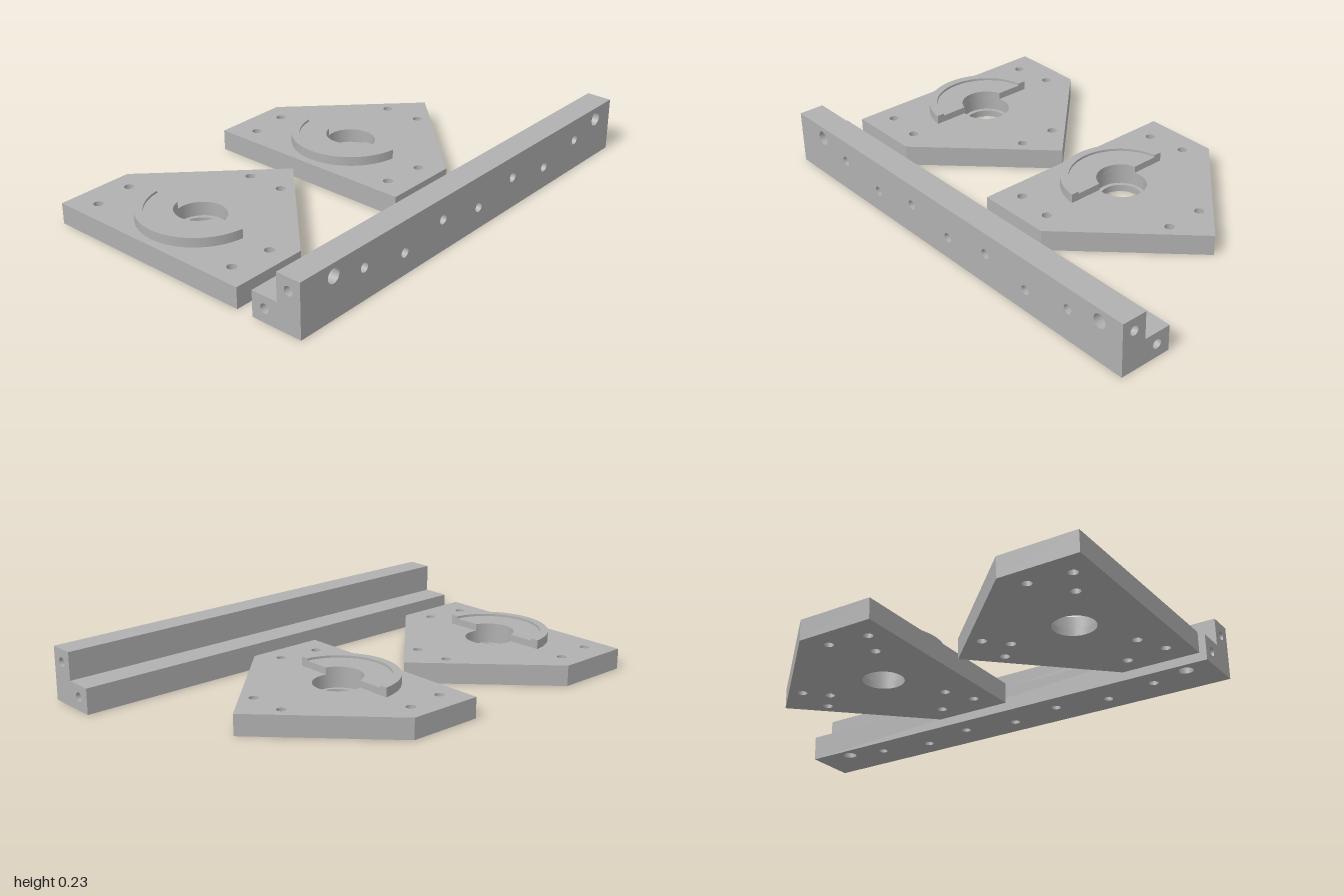
import * as THREE from 'three';

const grey = new THREE.MeshStandardMaterial({ color: 0xb0b0b0, side: THREE.DoubleSide });
grey.name = 'machined grey';

function add(parent, name, geometry) {
  const mesh = new THREE.Mesh(geometry, grey);
  mesh.name = name;
  parent.add(mesh);
  return mesh;
}

// Flat face in XY looking along +z, with bored holes { x, y, r, depth, open }.
// depth 0 leaves a plain opening; open leaves out the floor of the bore.
function boredFace(name, points, holes = []) {
  const group = new THREE.Group();
  group.name = name;
  const shape = new THREE.Shape(points.map(([x, y]) => new THREE.Vector2(x, y)));
  for (const { x, y, r, depth, open } of holes) {
    shape.holes.push(new THREE.Path().absarc(x, y, r, 0, Math.PI * 2, true));
    if (!depth) continue;
    const bore = new THREE.CylinderGeometry(r, r, depth, 32, 1, true);
    bore.rotateX(Math.PI / 2).translate(x, y, -depth / 2);
    add(group, 'boreWall', bore);
    if (!open) add(group, 'boreFloor', new THREE.CircleGeometry(r, 32).translate(x, y, -depth));
  }
  add(group, name + 'Surface', new THREE.ShapeGeometry(shape, 32));
  return group;
}

const rect = (x0, x1, y0, y1) => [[x0, y0], [x1, y0], [x1, y1], [x0, y1]];

function place(parent, face, position, rx = 0, ry = 0) {
  face.position.set(...position);
  face.rotation.set(rx, ry, 0);
  parent.add(face);
}

// Stepped rail with blind holes in the front, underside and both ends
function makeRail() {
  const rail = new THREE.Group();
  rail.name = 'steppedRail';
  const zFront = 0.635, zStep = 0.525, zBack = 0.405, top = 0.23, ledge = 0.11;
  const Q = Math.PI / 2;

  // hole row: x and distance from the outer corner
  const row = [{ x: -0.83, y: 0.178, r: 0.03, depth: 0.08 }, { x: 0.885, y: 0.178, r: 0.03, depth: 0.08 }];
  for (let i = 0; i < 7; i++) {
    row.push({ x: -0.665 + i * 0.231, y: i % 2 ? 0.095 : 0.137, r: 0.02, depth: 0.08 });
  }
  const under = row.map((h) => ({ ...h, x: -h.x, y: zFront - h.y }));

  place(rail, boredFace('railFront', rect(-1, 1, 0, top), row), [0, 0, zFront]);
  place(rail, boredFace('railUnderside', rect(-1, 1, zBack, zFront), under), [0, 0, 0], Q);
  place(rail, boredFace('railTop', rect(-1, 1, -zFront, -zStep)), [0, top, 0], -Q);
  place(rail, boredFace('railLedge', rect(-1, 1, -zStep, -zBack)), [0, ledge, 0], -Q);
  place(rail, boredFace('railStep', rect(-1, 1, ledge, top)), [0, 0, zStep], 0, Math.PI);
  place(rail, boredFace('railBack', rect(-1, 1, 0, ledge)), [0, 0, zBack], 0, Math.PI);

  // L-shaped ends
  for (const s of [1, -1]) {
    const outline = [[zFront, 0], [zFront, top], [zStep, top], [zStep, ledge], [zBack, ledge], [zBack, 0]];
    const holes = [[0.58, 0.175], [0.465, 0.058]]
      .map(([z, y]) => ({ x: -s * z, y, r: 0.02, depth: 0.12 }));
    place(rail, boredFace('railEnd', outline.map(([z, y]) => [-s * z, y]), holes), [s, 0, 0], 0, s * Q);
  }
  return rail;
}

// Part ring on the -x side of the bore, cut straight at x = -0.025
function cutRing(outer, inner, height) {
  const cut = -0.025, a = Math.acos(cut / outer), b = Math.acos(cut / inner);
  const shape = new THREE.Shape();
  shape.absarc(0, 0, outer, a, Math.PI * 2 - a, false);
  shape.absarc(0, 0, inner, Math.PI * 2 - b, b, true);
  const geometry = new THREE.ExtrudeGeometry(shape, { depth: height, bevelEnabled: false, curveSegments: 40 });
  return geometry.rotateX(-Math.PI / 2);
}

// Pointed plate with a stepped centre bore and a raised half ring
function makePlate(x) {
  const plate = new THREE.Group();
  plate.name = 'pointedPlate';
  plate.position.set(x, 0, -0.1525);
  const thick = 0.09, lip = 0.03, wide = 0.105, narrow = 0.087;
  const outline = [[-0.29, -0.4825], [0.045, -0.4825], [0.525, 0], [0.045, 0.4825], [-0.29, 0.4825]];

  const through = [];
  for (const s of [1, -1]) {
    for (const [hx, hz] of [[-0.2, 0.37], [-0.025, 0.39], [0.36, 0.085]]) {
      through.push({ x: hx, y: s * hz, r: 0.02 });
    }
  }
  // blind holes on a circle around the bore, underside only
  const blind = [0, 1, 2].map((i) => ({
    x: 0.28 * Math.cos(i * Math.PI * 2 / 3), y: 0.28 * Math.sin(i * Math.PI * 2 / 3), r: 0.02, depth: 0.05,
  }));

  const drilled = through.map((h) => ({ ...h, depth: thick, open: true }));
  const topHoles = [...drilled, { x: 0, y: 0, r: wide, depth: thick - lip, open: true }];
  const bottomHoles = [...through, ...blind, { x: 0, y: 0, r: narrow, depth: lip, open: true }];
  place(plate, boredFace('plateTop', outline, topHoles), [0, thick, 0], -Math.PI / 2);
  place(plate, boredFace('plateUnderside', outline, bottomHoles), [0, 0, 0], Math.PI / 2);
  add(plate, 'boreLip', new THREE.RingGeometry(narrow, wide, 32).rotateX(-Math.PI / 2).translate(0, lip, 0));

  // edge walls
  outline.forEach(([x0, z0], i) => {
    const [x1, z1] = outline[(i + 1) % outline.length];
    const wall = new THREE.PlaneGeometry(Math.hypot(x1 - x0, z1 - z0), thick);
    wall.rotateY(Math.PI - Math.atan2(z1 - z0, x1 - x0));
    wall.translate((x0 + x1) / 2, thick / 2, (z0 + z1) / 2);
    add(plate, 'plateEdge', wall);
  });

  // raised half ring with a taller rim
  add(plate, 'halfRing', cutRing(0.22, wide, 0.03)).position.y = thick;
  add(plate, 'halfRingRim', cutRing(0.255, 0.22, 0.04)).position.y = thick;
  return plate;
}

export function createModel() {
  const model = new THREE.Group();
  model.name = 'railAndPlates';
  model.add(makeRail(), makePlate(-0.71), makePlate(0.182));
  return model;
}
